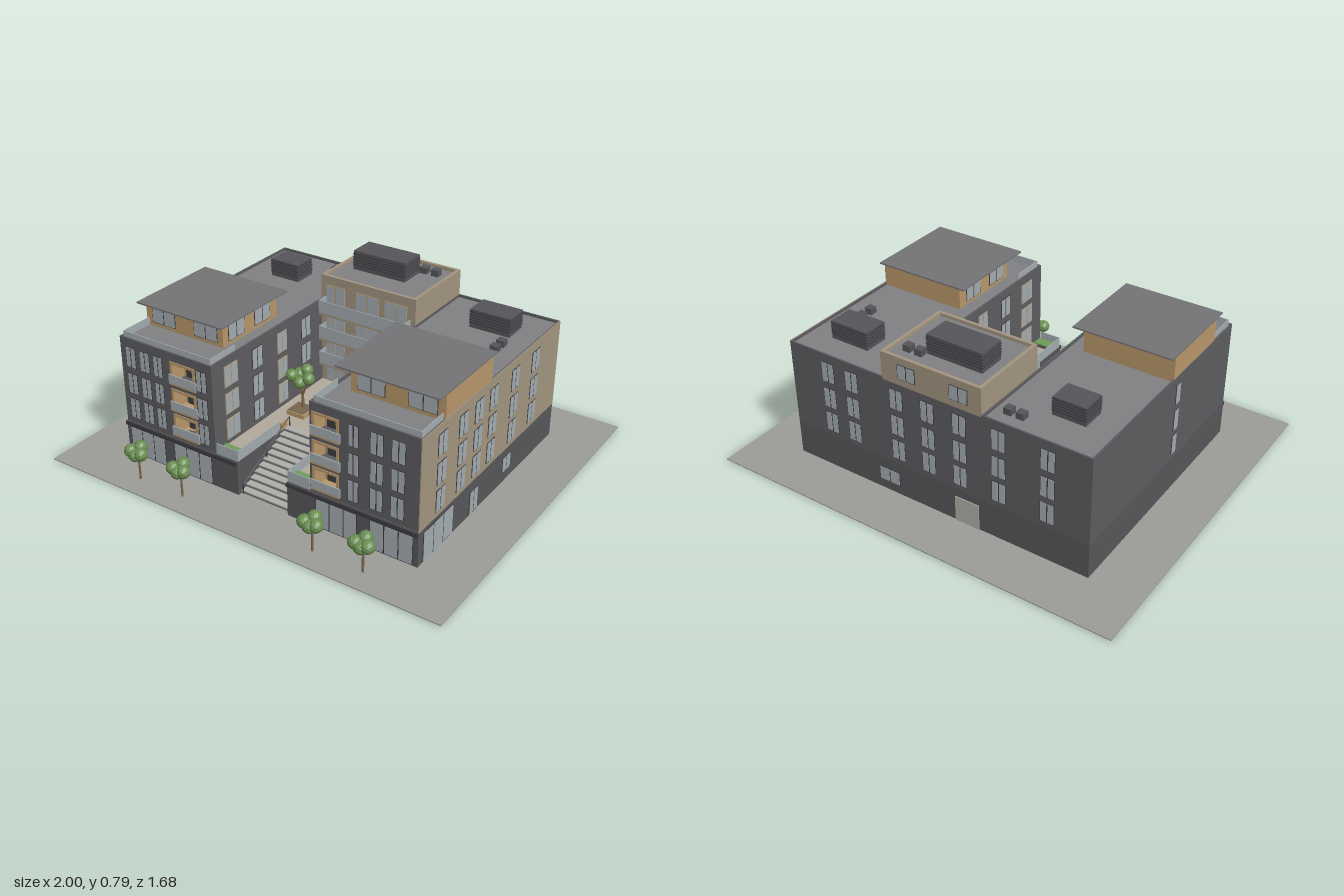
import * as THREE from 'three';

const mat = (color, extra = {}) => new THREE.MeshStandardMaterial({ color, ...extra });
const M = {
  ground: mat(0x9b9b97), dark: mat(0x5d5d61), podium: mat(0x57575a), trim: mat(0x3d3d41),
  tan: mat(0xa39480), wood: mat(0xb8976a), glass: mat(0xa3acb1), roof: mat(0x808083),
  slab: mat(0x747477), plant: mat(0x55555a), paving: mat(0xb1a99b), step: mat(0xb0aea8),
  soil: mat(0x75664f), grass: mat(0x6f9a58), bark: mat(0x7d6a50),
  leaf: mat(0x6b8f52, { flatShading: true }),
};

export function createModel() {
  const model = new THREE.Group();

  // Box given by its limits on each axis
  function box(name, m, x0, x1, y0, y1, z0, z1, parent = model) {
    const mesh = new THREE.Mesh(new THREE.BoxGeometry(x1 - x0, y1 - y0, z1 - z0), m);
    mesh.position.set((x0 + x1) / 2, (y0 + y1) / 2, (z0 + z1) / 2);
    mesh.name = name;
    parent.add(mesh);
    return mesh;
  }

  // Framed window centred on u along a wall; side picks the outward direction
  const turn = { front: 0, right: Math.PI / 2, back: Math.PI, left: -Math.PI / 2 };
  function windowAt(side, wall, u, y0, y1, w, panes = 2, frame = M.trim, name = 'window') {
    const g = new THREE.Group(), h = y1 - y0;
    g.name = name;
    g.rotation.y = turn[side];
    if (side === 'front' || side === 'back') g.position.set(u, y0, wall);
    else g.position.set(wall, y0, u);
    box('windowFrame', frame, -w / 2, w / 2, 0, h, -0.004, 0.002, g);
    const pw = w / panes, e = 0.003;
    for (let i = 0; i < panes; i++) {
      const x = -w / 2 + i * pw;
      box('windowPane', M.glass, x + e, x + pw - e, e, h - e, 0, 0.0035, g);
    }
    model.add(g);
  }

  // Parapet ring around a flat roof
  function parapet(m, x0, x1, y0, y1, z0, z1, t) {
    box('parapet', m, x0, x1, y0, y1, z0, z0 + t);
    box('parapet', m, x0, x1, y0, y1, z1 - t, z1);
    box('parapet', m, x0, x0 + t, y0, y1, z0 + t, z1 - t);
    box('parapet', m, x1 - t, x1, y0, y1, z0 + t, z1 - t);
  }

  const floors = [[0.195, 0.295], [0.32, 0.42], [0.45, 0.55]];

  // Site and podium
  box('ground', M.ground, -1, 1, 0, 0.005, -0.84, 0.84);
  box('podiumLeft', M.podium, -0.757, -0.13, 0.005, 0.17, -0.6, 0.6);
  box('podiumRight', M.podium, 0.13, 0.757, 0.005, 0.17, -0.6, 0.6);
  box('podiumMiddle', M.podium, -0.13, 0.13, 0.005, 0.17, -0.6, 0.24);
  box('courtyard', M.paving, -0.25, 0.25, 0.17, 0.174, -0.2, 0.24);
  for (const s of [-1, 1]) {
    box('courtyardEdge', M.paving, Math.min(s * 0.13, s * 0.25), Math.max(s * 0.13, s * 0.25), 0.17, 0.174, 0.24, 0.59);
    const a = s < 0 ? -0.757 : 0.13, b = s < 0 ? -0.13 : 0.757;
    box('canopy', M.trim, a, b, 0.152, 0.17, 0.6, 0.61);
  }
  [[-0.635, 0.2], [-0.375, 0.21], [0.375, 0.2], [0.635, 0.2]].forEach(([x, w]) =>
    windowAt('front', 0.6, x, 0.008, 0.146, w, 3, M.trim, 'shopWindow'));

  // Wings: solid core, front wall with balcony openings, parapet
  const wings = [
    { x0: -0.757, x1: -0.25, bay: [-0.475, -0.34], cols: [[-0.7, 0.055], [-0.62, 0.055], [-0.545, 0.05], [-0.305, 0.055]], in: 'right', xin: -0.25 },
    { x0: 0.245, x1: 0.757, bay: [0.257, 0.385], cols: [[0.453, 0.05], [0.56, 0.06], [0.657, 0.062]], in: 'left', xin: 0.245 },
  ];
  for (const { x0, x1, bay, cols, in: inner, xin } of wings) {
    const [b0, b1] = bay;
    box('wingCore', M.dark, x0, x1, 0.17, 0.575, -0.6, 0.52);
    const wall = new THREE.Shape([[x0, 0.17], [x1, 0.17], [x1, 0.575], [x0, 0.575]].map(p => new THREE.Vector2(...p)));
    for (const [y0, y1] of floors)
      wall.holes.push(new THREE.Path([[b0, y0], [b0, y1], [b1, y1], [b1, y0]].map(p => new THREE.Vector2(...p))));
    const front = new THREE.Mesh(new THREE.ExtrudeGeometry(wall, { depth: 0.075, bevelEnabled: false }), M.dark);
    front.position.z = 0.52;
    front.name = 'wingFront';
    model.add(front);
    box('wingRoof', M.roof, x0 + 0.005, x1 - 0.005, 0.575, 0.578, -0.595, 0.59);
    parapet(M.dark, x0, x1, 0.575, 0.59, -0.6, 0.595, 0.008);

    // Balconies with timber lining and glass rail
    for (const [y0, y1] of floors) {
      box('balconyLining', M.wood, b0, b0 + 0.012, y0, y1, 0.52, 0.599);
      box('balconyLining', M.wood, b1 - 0.012, b1, y0, y1, 0.52, 0.599);
      box('balconyLining', M.wood, b0, b1, y1 - 0.012, y1, 0.52, 0.599);
      box('balconyBack', M.wood, b0, b1, y0, y1, 0.515, 0.523);
      box('balconyDoor', M.trim, b0 + 0.025, b1 - 0.02, y0, y1 - 0.02, 0.52, 0.526);
      box('balconySlab', M.wood, b0 - 0.005, b1 + 0.005, y0 - 0.008, y0, 0.52, 0.605);
      box('balconyRail', M.glass, b0 - 0.005, b1 + 0.01, y0, y0 + 0.04, 0.6, 0.605);
      for (const [x, w] of cols) windowAt('front', 0.595, x, y0, y1, w, 2);
      // Courtyard side windows
      [0.47, 0.29, 0.11, -0.07].forEach((z, i) =>
        windowAt(inner, xin, z, y0, y1, i ? 0.07 : 0.09, 2, i % 2 ? M.trim : M.wood));
    }

    // Penthouse with overhanging roof and terrace rail
    const left = x0 < 0, p0 = left ? x0 + 0.002 : 0.325, p1 = left ? -0.325 : x1 - 0.002;
    box('penthouse', M.wood, p0, p1, 0.575, 0.698, 0.045, 0.42);
    box('penthouseRoof', M.slab, left ? x0 : 0.28, left ? -0.285 : x1, 0.697, 0.704, 0.015, 0.475);
    for (const x of [0.42, 0.655]) windowAt('front', 0.42, left ? -x : x, 0.595, 0.675, 0.13, 2, M.trim, 'penthouseWindow');
    for (const z of [0.33, 0.15]) windowAt(inner, left ? p1 : p0, z, 0.595, 0.675, 0.11, 2, M.trim, 'penthouseWindow');
    box('terraceRail', M.glass, x0 + 0.012, x1 - 0.012, 0.578, 0.613, 0.578, 0.582);
    for (const x of [x0 + 0.012, x1 - 0.016]) box('terraceRail', M.glass, x, x + 0.004, 0.578, 0.613, 0.42, 0.578);
  }

  // Right wall: light cladding, windows and street openings
  box('sideCladding', M.tan, 0.755, 0.759, 0.17, 0.591, -0.598, 0.6);
  for (const [y0, y1] of floors) {
    for (const z of [0.443, 0.28, 0.15, 0.025, -0.168, -0.36]) windowAt('right', 0.759, z, y0, y1, 0.07);
    windowAt('left', -0.757, 0.09, y0, y1, 0.04, 1);
    for (const x of [0.55, 0.42, 0.18, 0.02, -0.14, -0.33, -0.56]) windowAt('back', -0.6, x, y0, y1, 0.068);
  }
  windowAt('right', 0.757, 0.445, 0.008, 0.15, 0.235, 3, M.trim, 'shopWindow');
  windowAt('right', 0.757, 0.15, 0.008, 0.12, 0.07, 2, M.trim, 'sideDoor');
  windowAt('right', 0.757, -0.145, 0.055, 0.13, 0.075);
  windowAt('back', -0.6, 0.24, 0.05, 0.12, 0.11);
  box('backDoor', M.step, -0.23, -0.11, 0.005, 0.13, -0.604, -0.598);

  // Middle block
  box('middleLowerBack', M.dark, -0.25, 0.25, 0.17, 0.58, -0.6, -0.55);
  box('middleBlock', M.tan, -0.25, 0.25, 0.17, 0.695, -0.599, -0.2);
  box('middleRoof', M.roof, -0.24, 0.24, 0.695, 0.698, -0.59, -0.21);
  parapet(M.tan, -0.25, 0.25, 0.695, 0.713, -0.599, -0.2, 0.016);
  for (const x of [0.12, -0.14]) windowAt('back', -0.599, x, 0.61, 0.68, 0.09);
  for (const y of [0.178, 0.295, 0.425, 0.555]) {
    [[-0.17, 0.105], [0, 0.125], [0.15, 0.12]].forEach(([x, w]) =>
      windowAt('front', -0.2, x, y, y + 0.115, w, 2, M.wood, 'middleWindow'));
    if (y < 0.2) continue;
    box('middleBalcony', M.tan, -0.228, 0.225, y - 0.016, y - 0.006, -0.2, -0.145);
    box('middleBalconyRail', M.glass, -0.228, 0.225, y - 0.006, y + 0.055, -0.149, -0.145);
    for (const x of [-0.228, 0.221]) box('middleBalconyRail', M.glass, x, x + 0.004, y - 0.006, y + 0.055, -0.2, -0.149);
  }

  // Roof plant
  [[-0.62, -0.465, 0.575, 0.663, -0.425, -0.31], [0.44, 0.635, 0.575, 0.665, -0.465, -0.345],
    [-0.18, 0.095, 0.695, 0.79, -0.49, -0.36]].forEach(([x0, x1, y0, y1, z0, z1]) => {
    box('roofPlant', M.plant, x0, x1, y0, y1, z0, z1);
    for (let y = y0 + 0.025; y < y1 - 0.005; y += 0.013)
      box('plantLouvre', M.trim, x0 - 0.002, x1 + 0.002, y, y + 0.004, z0 - 0.002, z1 + 0.002);
  });
  [[-0.38, 0.575, -0.51], [-0.322, 0.575, -0.51], [0.113, 0.695, -0.51], [0.172, 0.695, -0.51], [0.64, 0.575, -0.263], [0.64, 0.575, -0.203]]
    .forEach(([x, y, z]) => box('roofUnit', M.plant, x - 0.018, x + 0.018, y, y + 0.033, z - 0.018, z + 0.018));

  // Entrance stair with handrails
  const steps = 11;
  for (let i = 0; i < steps; i++) {
    const z1 = 0.58 - i * 0.031, top = 0.005 + (i + 1) * 0.169 / steps;
    box('stepRiser', M.slab, -0.13, 0.13, 0.005, top - 0.005, 0.24, z1 - 0.002);
    box('stepTread', M.step, -0.13, 0.13, top - 0.005, top, z1 - 0.035, z1);
  }
  for (const s of [-1, 1]) {
    const path = new THREE.LineCurve3(new THREE.Vector3(s * 0.12, 0.05, 0.58), new THREE.Vector3(s * 0.12, 0.222, 0.24));
    const rail = new THREE.Mesh(new THREE.TubeGeometry(path, 1, 0.003, 6), M.trim);
    rail.name = 'handrail';
    model.add(rail);
    for (const [z, y0] of [[0.58, 0.005], [0.41, 0.09], [0.24, 0.17]]) box('handrailPost', M.trim, s * 0.12 - 0.002, s * 0.12 + 0.002, y0, y0 + 0.05, z - 0.002, z + 0.002);
    box('gatePost', M.wood, s * 0.132 - 0.005, s * 0.132 + 0.005, 0.17, 0.205, 0.245, 0.29);
    // Lawn planters and glass guards beside the stair
    const a = s < 0 ? -0.245 : 0.13, b = s < 0 ? -0.13 : 0.24;
    box('planter', M.podium, a, b, 0.17, 0.187, 0.527, 0.582);
    box('planterGrass', M.grass, a + 0.003, b - 0.003, 0.187, 0.192, 0.53, 0.58);
    box('glassGuard', M.glass, a, b, 0.17, 0.222, 0.59, 0.594);
    box('stairGuard', M.glass, s * 0.131 - 0.0015, s * 0.131 + 0.0015, 0.17, 0.222, 0.3, 0.59);
  }

  // Courtyard furniture
  for (const [x0, x1, z] of [[-0.07, -0.015, -0.14], [-0.045, 0.037, -0.108], [-0.045, 0.037, -0.005]]) {
    box('benchSeat', M.wood, x0, x1, 0.192, 0.198, z - 0.009, z + 0.009);
    for (const x of [x0 + 0.006, x1 - 0.01]) box('benchLeg', M.trim, x, x + 0.004, 0.174, 0.192, z - 0.006, z + 0.006);
  }
  for (const [x, z] of [[-0.145, 0.12], [0.135, 0.115]]) {
    box('treePlanter', M.wood, x - 0.047, x + 0.047, 0.174, 0.196, z - 0.047, z + 0.047);
    box('treePlanterSoil', M.soil, x - 0.041, x + 0.041, 0.196, 0.199, z - 0.041, z + 0.041);
  }

  // Trees: trunk, branches and clustered crowns
  function branch(a, b, r) {
    const line = new THREE.LineCurve3(new THREE.Vector3(...a), new THREE.Vector3(...b));
    const mesh = new THREE.Mesh(new THREE.TubeGeometry(line, 1, r, 6), M.bark);
    mesh.name = 'trunk';
    model.add(mesh);
  }
  function crown(x, y, z, r) {
    const mesh = new THREE.Mesh(new THREE.IcosahedronGeometry(r, 1), M.leaf);
    mesh.position.set(x, y, z);
    mesh.name = 'crown';
    model.add(mesh);
  }
  for (const x of [-0.565, -0.325, 0.355, 0.595]) {
    branch([x, 0.005, 0.74], [x, 0.13, 0.74], 0.005);
    [[0, 0.158, -0.018], [-0.029, 0.146, 0.014], [0.029, 0.146, 0.014], [0, 0.136, 0.02]].forEach(([dx, y, dz]) => crown(x + dx, y, 0.74 + dz, 0.031));
  }
  branch([-0.14, 0.196, 0.11], [-0.14, 0.27, 0.11], 0.006);
  [[-0.045, 0.36, 0.02], [0.04, 0.362, 0.01], [0, 0.375, -0.035], [0.005, 0.342, 0.03], [-0.03, 0.355, -0.02]].forEach(([dx, y, dz]) => {
    branch([-0.14, 0.26, 0.11], [-0.14 + dx, y, 0.11 + dz], 0.004);
    crown(-0.14 + dx, y, 0.11 + dz, 0.029);
  });
  // Small sapling in the second planter
  branch([0.135, 0.196, 0.115], [0.135, 0.232, 0.115], 0.004);
  crown(0.138, 0.235, 0.115, 0.014);

  return model;
}
